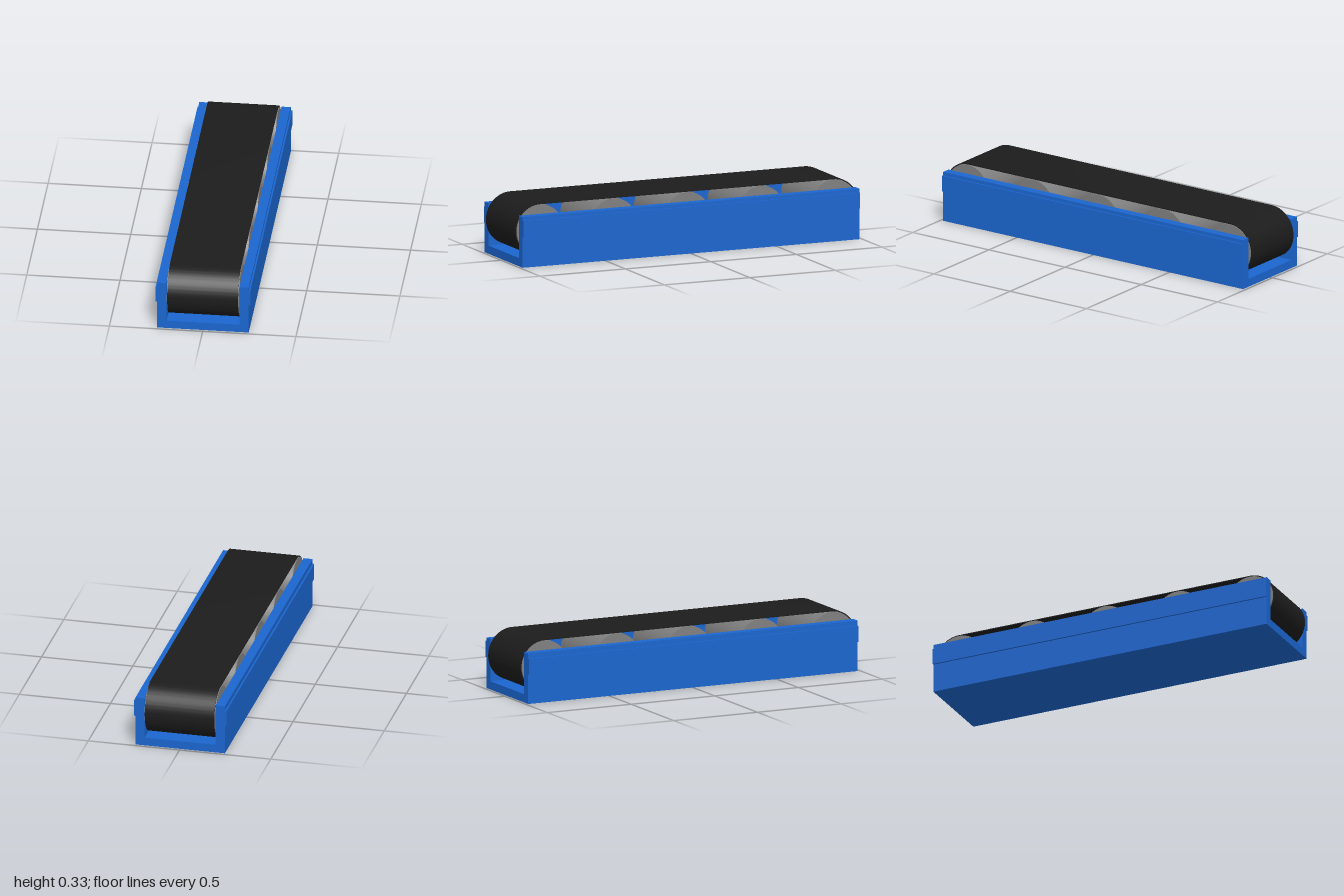
import * as THREE from 'three';
import { toCreasedNormals } from 'three/addons/utils/BufferGeometryUtils.js';

const blue = new THREE.MeshStandardMaterial({ color: 0x1b66d0 });
const black = new THREE.MeshStandardMaterial({ color: 0x1c1c1c });
const grey = new THREE.MeshStandardMaterial({ color: 0x808080 });

const AXLE_Y = 0.188, SPACING = 0.43, END_Z = 2 * SPACING;
const ROLLER_R = 0.136, BELT_R = 0.142;

function add(group, name, geometry, material, x = 0, y = 0, z = 0) {
  const mesh = new THREE.Mesh(geometry, material);
  mesh.name = name;
  mesh.position.set(x, y, z);
  group.add(mesh);
  return mesh;
}

// Stadium outline: two half circles joined by straight runs
function stadium(path, r) {
  path.absarc(END_Z, 0, r, -Math.PI / 2, Math.PI / 2, false);
  path.absarc(-END_Z, 0, r, Math.PI / 2, Math.PI * 1.5, false);
  path.closePath();
  return path;
}

export function createModel() {
  const model = new THREE.Group();
  model.name = 'conveyor';

  // U-shaped channel frame
  const profile = new THREE.Shape([
    [-0.245, 0], [0.245, 0], [0.245, 0.274], [0.195, 0.274],
    [0.195, 0.045], [-0.195, 0.045], [-0.195, 0.274], [-0.245, 0.274],
  ].map(([x, y]) => new THREE.Vector2(x, y)));
  const frame = new THREE.ExtrudeGeometry(profile, { depth: 1.97, bevelEnabled: false });
  frame.translate(0, 0, -0.985);
  add(model, 'frame', frame, blue);

  // Side rails, set at slightly different heights
  const rail = new THREE.BoxGeometry(0.014, 0.088, 1.97);
  add(model, 'leftRail', rail, blue, 0.247, 0.211, 0);
  add(model, 'rightRail', rail, blue, -0.247, 0.203, 0);

  // Rollers
  const roller = new THREE.CylinderGeometry(ROLLER_R, ROLLER_R, 0.386, 48);
  roller.rotateZ(Math.PI / 2);
  for (let i = -2; i <= 2; i++) {
    add(model, `roller${i + 3}`, roller, grey, 0, AXLE_Y, i * SPACING);
  }

  // Belt loop around the rollers
  const loop = stadium(new THREE.Shape(), BELT_R);
  loop.holes.push(stadium(new THREE.Path(), ROLLER_R + 0.001));
  let belt = new THREE.ExtrudeGeometry(loop, { depth: 0.38, bevelEnabled: false, curveSegments: 32 });
  belt.translate(0, 0, -0.19);
  belt.rotateY(Math.PI / 2);
  belt = toCreasedNormals(belt, 0.6);
  add(model, 'belt', belt, black, 0, AXLE_Y, 0);

  return model;
}
